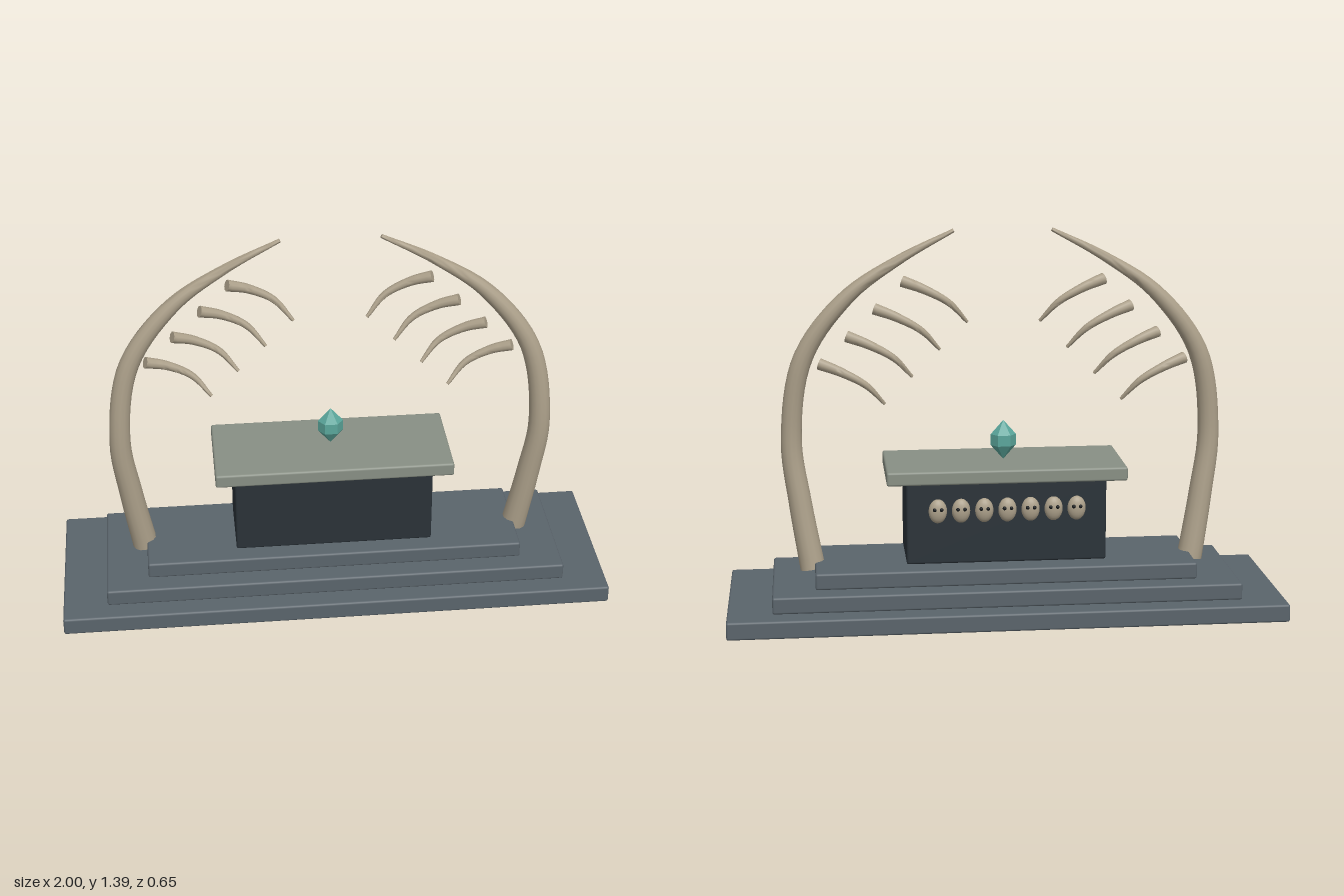
import * as THREE from 'three';
import { RoundedBoxGeometry } from 'three/addons/geometries/RoundedBoxGeometry.js';
import { toCreasedNormals } from 'three/addons/utils/BufferGeometryUtils.js';

const paint = (color) => new THREE.MeshStandardMaterial({ color });

// Tapered, capped tube; radii are spread evenly along the path
function horn(points, radii, rings = 40, sides = 14) {
  const curve = new THREE.CatmullRomCurve3(points.map((p) => new THREE.Vector3(...p)));
  const geo = new THREE.TubeGeometry(curve, rings, 1, sides);
  const pos = geo.attributes.position;
  const v = new THREE.Vector3();
  for (let i = 0; i <= rings; i++) {
    const t = THREE.MathUtils.clamp((i - 1) / (rings - 2), 0, 1);
    const k = Math.min(Math.floor(t * (radii.length - 1)), radii.length - 2);
    const taper = THREE.MathUtils.lerp(radii[k], radii[k + 1], t * (radii.length - 1) - k);
    const r = i === 0 || i === rings ? 0 : taper;
    const from = curve.getPointAt(i / rings);
    const to = curve.getPointAt(t);
    for (let j = 0; j <= sides; j++) {
      const n = i * (sides + 1) + j;
      v.fromBufferAttribute(pos, n).sub(from).multiplyScalar(r).add(to);
      pos.setXYZ(n, v.x, v.y, v.z);
    }
  }
  return toCreasedNormals(geo, 0.9);
}

export function createModel() {
  const model = new THREE.Group();
  const stone = paint(0x5a646b);
  const dark = paint(0x2a3238);
  const slab = paint(0x888f84);
  const bone = paint(0xaca08a);
  const crystal = paint(0x5aa69b);
  const black = paint(0x15181a);

  const add = (name, geo, mat, parent = model) => {
    const mesh = new THREE.Mesh(geo, mat);
    mesh.name = name;
    parent.add(mesh);
    return mesh;
  };
  const block = (name, w, d, y0, y1, mat) => {
    add(name, new RoundedBoxGeometry(w, y1 - y0, d, 2, 0.008), mat).position.y = (y0 + y1) / 2;
  };

  // Stepped base and altar
  block('lowerStep', 2, 0.65, 0, 0.065, stone);
  block('middleStep', 1.68, 0.512, 0.067, 0.128, stone);
  block('upperStep', 1.374, 0.376, 0.13, 0.19, stone);
  block('altarBody', 0.72, 0.272, 0.2, 0.5, dark);
  block('altarSlab', 0.86, 0.36, 0.5, 0.55, slab);

  // Faceted gem standing on the slab
  const profile = [[0, -0.072], [0.046, -0.02], [0.046, 0.02], [0, 0.072]];
  const gemGeo = new THREE.LatheGeometry(profile.map((p) => new THREE.Vector2(...p)), 6);
  gemGeo.rotateY(Math.PI / 6).scale(1, 1, 0.8);
  const gemMat = crystal;
  gemMat.flatShading = true;
  add('gem', gemGeo, gemMat).position.set(0, 0.624, -0.01);

  // Tusks and their hanging ribs, mirrored left and right
  for (const s of [1, -1]) {
    const side = new THREE.Group();
    side.name = s > 0 ? 'leftArch' : 'rightArch';
    model.add(side);
    const tusk = [
      [0.695, 0.16, 0], [0.735, 0.4, 0.02], [0.762, 0.63, 0.033], [0.715, 0.93, 0.018],
      [0.555, 1.15, 0.004], [0.365, 1.283, 0], [0.175, 1.382, 0],
    ];
    add('tusk', horn(tusk.map(([x, y, z]) => [s * x, y, z]),
      [0.046, 0.042, 0.038, 0.036, 0.03, 0.019, 0.007]), bone, side);
    for (let i = 0; i < 4; i++) {
      const rib = [[0.36, 1.207, -0.022], [0.285, 1.18, -0.042], [0.195, 1.13, -0.046], [0.13, 1.058, -0.02]];
      const path = rib.map(([x, y, z]) => [s * (x + 0.099 * i), y - 0.097 * i, z]);
      add('rib', horn(path, [0.021, 0.016, 0.012, 0.006], 20, 10), bone, side);
    }
  }

  // Row of small skull beads on the back of the altar
  const beadGeo = new THREE.SphereGeometry(1, 18, 12).scale(0.033, 0.044, 0.022);
  const eyeGeo = new THREE.SphereGeometry(0.007, 10, 8);
  for (let i = -3; i <= 3; i++) {
    const bead = new THREE.Group();
    bead.name = 'skullBead';
    bead.position.set(i * 0.083, 0.4, -0.154);
    model.add(bead);
    add('skull', beadGeo, bone, bead);
    for (const s of [1, -1]) add('eye', eyeGeo, black, bead).position.set(s * 0.012, 0.009, -0.018);
  }

  return model;
}
